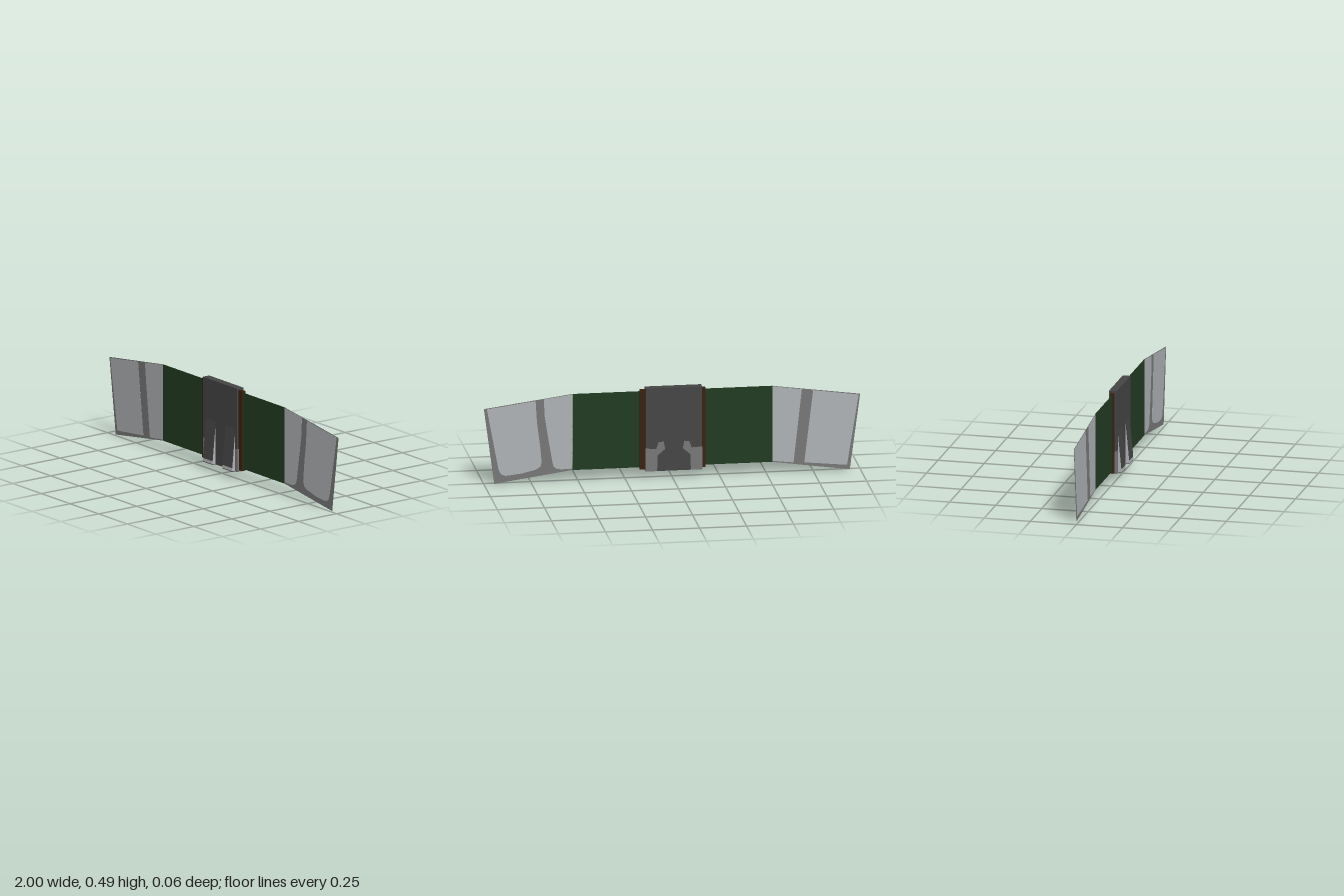
import * as THREE from 'three';

const material = (name, color) => {
  const m = new THREE.MeshStandardMaterial({ color });
  m.name = name;
  return m;
};

export function createModel() {
  const model = new THREE.Group();
  model.name = 'foldingWing';

  const charcoal = material('charcoal', 0x464646);
  const midGrey = material('mid grey', 0x787878);
  const paleGrey = material('pale grey', 0xb0b3b6);
  const green = material('dark green', 0x233c23);
  const brown = material('dark brown', 0x3a2310);

  const WING_Z = -0.0135;

  const add = (name, geometry, mat) => {
    const mesh = new THREE.Mesh(geometry, mat);
    mesh.name = name;
    model.add(mesh);
    return mesh;
  };

  // Box given by its minimum and maximum corners
  const box = (name, mat, [x0, y0, z0], [x1, y1, z1]) =>
    add(name, new THREE.BoxGeometry(x1 - x0, y1 - y0, z1 - z0), mat)
      .position.set((x0 + x1) / 2, (y0 + y1) / 2, (z0 + z1) / 2);

  // Thin outline plate in the xy plane, centred on z
  const plate = (name, mat, points, z, depth) => {
    const shape = new THREE.Shape(points.map(([x, y]) => new THREE.Vector2(x, y)));
    const geometry = new THREE.ExtrudeGeometry(shape, { depth, bevelEnabled: false });
    add(name, geometry, mat).position.z = z - depth / 2;
  };

  // Central housing
  const X0 = -0.157, X1 = 0.142, Y0 = 0.041, Y1 = 0.495, Z0 = -0.034, Z1 = 0.007;
  box('housing', charcoal, [X0, Y0, Z0], [X1, Y1, Z1]);

  // Worn lower corners of the housing: sides, front strips and back patches
  const T = 0.001, WEAR = 0.165;
  box('rightSideWear', midGrey, [X0 - T, Y0, Z0], [X0, WEAR, Z1]);
  box('leftSideWear', midGrey, [X1, Y0, Z0], [X1 + T, WEAR, Z1]);
  box('rightFrontWear', midGrey, [X0, Y0, Z1], [-0.13, WEAR, Z1 + T]);
  box('leftFrontWear', midGrey, [0.125, Y0, Z1], [X1, WEAR, Z1 + T]);
  const patch = [[0, 0], [0, 0.125], [0.055, 0.122], [0.068, 0.158], [0.095, 0.16],
    [0.103, 0.12], [0.062, 0.085], [0.06, 0]];
  plate('leftBackWear', midGrey, patch.map(([x, y]) => [X1 - x, Y0 + y]), Z0 - T / 2, T);
  plate('rightBackWear', midGrey, patch.map(([x, y]) => [X0 + x, Y0 + y]), Z0 - T / 2, T);

  // Wedge flaps on the front: pale cheeks, dark face and a pale lower lip
  const wedge = new THREE.Shape([
    new THREE.Vector2(0.006, 0.275), new THREE.Vector2(0.006, 0.042), new THREE.Vector2(0.028, 0.045),
  ]);
  const slope = Math.atan2(0.022, 0.23);
  for (const [side, x0, x1] of [['right', -0.13, -0.046], ['left', 0.041, 0.125]]) {
    const geometry = new THREE.ExtrudeGeometry(wedge, { depth: x1 - x0, bevelEnabled: false });
    geometry.rotateY(-Math.PI / 2); // profile x becomes z, extrusion runs towards -x
    add(side + 'Flap', geometry, paleGrey).position.x = x1;
    const face = add(side + 'FlapFace', new THREE.BoxGeometry(x1 - x0, 0.214, 0.0012), charcoal);
    face.position.set((x0 + x1) / 2, 0.168, 0.0165);
    face.rotation.x = -slope;
    box(side + 'FlapBase', charcoal, [x0, 0.041, 0.007], [x1, 0.0435, 0.027]);
  }

  // Brown collars where the wings enter the housing
  box('rightCollar', brown, [-0.177, 0.05, -0.024], [X0, 0.485, -0.003]);
  box('leftCollar', brown, [X1, 0.05, -0.024], [0.172, 0.485, -0.003]);

  // Green inner wing panels
  box('rightInnerWing', green, [-0.533, 0.06, WING_Z - 0.001], [-0.17, 0.476, WING_Z + 0.001]);
  box('leftInnerWing', green, [0.165, 0.06, WING_Z - 0.001], [0.53, 0.476, WING_Z + 0.001]);

  // Outer wing tips: grey sheet with pale panes showing on both faces
  const tip = [[0.531, 0.476], [1, 0.413], [0.945, 0.002], [0.531, 0.06]];
  const panes = {
    right: [
      [[-0.992, 0.409], [-0.75, 0.443], [-0.703, 0.05], [-0.93, 0.027]],
      [[-0.69, 0.451], [-0.533, 0.473], [-0.533, 0.065], [-0.646, 0.052]],
    ],
    left: [
      [[0.531, 0.473], [0.681, 0.453], [0.677, 0.36], [0.655, 0.22], [0.636, 0.11],
        [0.63, 0.085], [0.615, 0.071], [0.59, 0.066], [0.531, 0.068]],
      [[0.725, 0.446], [0.984, 0.411], [0.945, 0.2], [0.922, 0.08], [0.91, 0.053], [0.885, 0.043],
        [0.8, 0.052], [0.725, 0.07], [0.7, 0.085], [0.693, 0.11], [0.7, 0.19], [0.718, 0.33]],
    ],
  };
  for (const [side, s] of [['right', -1], ['left', 1]]) {
    plate(side + 'WingTip', midGrey, tip.map(([x, y]) => [s * x, y]), WING_Z, 0.001);
    panes[side].forEach((points, i) =>
      plate(side + (i ? 'OuterPane' : 'InnerPane'), paleGrey, points, WING_Z, 0.002));
  }

  return model;
}
